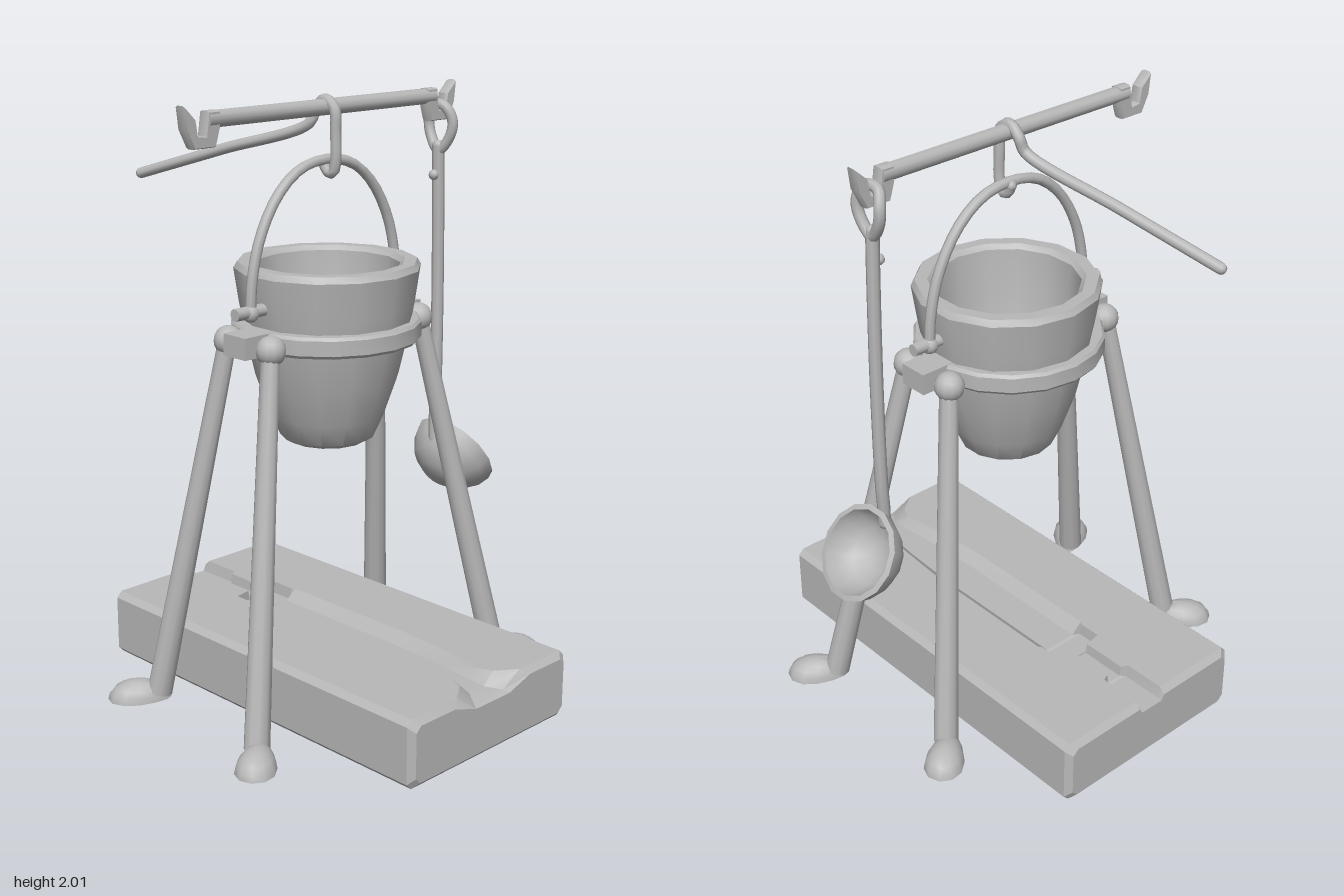
import * as THREE from 'three';
import { mergeGeometries, toCreasedNormals } from 'three/addons/utils/BufferGeometryUtils.js';

const V = (x, y, z) => new THREE.Vector3(x, y, z);

export function createModel() {
  const model = new THREE.Group();
  model.name = 'castingSet';
  const iron = new THREE.MeshStandardMaterial({ color: 0xb8b8b8 });
  iron.name = 'greyIron';

  const add = (parent, name, geometry, x = 0, y = 0, z = 0) => {
    const mesh = new THREE.Mesh(geometry, iron);
    mesh.name = name;
    mesh.position.set(x, y, z);
    parent.add(mesh);
    return mesh;
  };

  // Bent rod with rounded ends
  const rod = (points, radius, steps = 32, closed = false) => {
    const curve = new THREE.CatmullRomCurve3(points, closed, 'centripetal');
    const parts = [new THREE.TubeGeometry(curve, steps, radius, 8, closed)];
    if (!closed) {
      for (const p of [points[0], points[points.length - 1]]) {
        parts.push(new THREE.SphereGeometry(radius, 8, 6).translate(p.x, p.y, p.z));
      }
    }
    return mergeGeometries(parts);
  };

  // Straight tapered bar between two points
  const bar = (a, b, ra, rb, sides = 10) => {
    const dir = b.clone().sub(a);
    const g = new THREE.CylinderGeometry(rb, ra, dir.length(), sides);
    g.applyQuaternion(new THREE.Quaternion().setFromUnitVectors(V(0, 1, 0), dir.clone().normalize()));
    const mid = a.clone().add(b).multiplyScalar(0.5);
    return toCreasedNormals(g.translate(mid.x, mid.y, mid.z), 0.8);
  };

  const lathe = (profile, sides) =>
    toCreasedNormals(new THREE.LatheGeometry(profile.map(([x, y]) => new THREE.Vector2(x, y)), sides), 0.65);

  add(model, 'mouldBlock', mouldBlock());

  // Everything hung from or standing around the pot shares one centre line
  const rig = new THREE.Group();
  rig.name = 'potStand';
  rig.position.set(-0.017, 0, -0.007);
  model.add(rig);

  // Pot with thick wall
  add(rig, 'pot', lathe([
    [0, 0.88], [0.13, 0.88], [0.155, 0.895], [0.19, 0.97], [0.235, 1.1], [0.268, 1.24], [0.285, 1.34],
    [0.302, 1.455], [0.29, 1.475], [0.25, 1.475], [0.235, 1.46], [0.222, 1.3], [0.185, 1.1], [0.13, 0.96], [0, 0.94],
  ], 14), 0.007);

  // Carrying band
  add(rig, 'band', lathe([
    [0.24, 1.222], [0.3, 1.222], [0.308, 1.232], [0.308, 1.28], [0.3, 1.29], [0.25, 1.29], [0.24, 1.222],
  ], 18));

  for (const s of [-1, 1]) {
    add(rig, 'bandLug', new THREE.BoxGeometry(0.12, 0.07, 0.1), s * 0.335, 1.256, 0);
    add(rig, 'bailPin', bar(V(s * 0.26, 1.355, 0), V(s * 0.391, 1.355, 0), 0.02, 0.02));
    add(rig, 'bailEye', new THREE.SphereGeometry(0.028, 10, 8), s * 0.326, 1.35, 0);
    for (const f of [-1, 1]) {
      // Leg with ball joint and flat-soled foot
      const leg = new THREE.Group();
      leg.name = f > 0 ? 'frontLeg' : 'backLeg';
      rig.add(leg);
      const dx = f > 0 ? 0 : -0.045;
      add(leg, 'ballJoint', new THREE.SphereGeometry(0.048, 12, 10), s * 0.332, 1.25, f * 0.098);
      add(leg, 'shaft', bar(V(s * (0.56 + dx), 0.05, f * 0.265), V(s * 0.337, 1.24, f * 0.1), 0.042, 0.03));
      const dome = new THREE.SphereGeometry(1, 12, 5, 0, Math.PI * 2, 0, Math.PI / 2);
      const sole = new THREE.CircleGeometry(1, 12).rotateX(Math.PI / 2);
      const foot = mergeGeometries([dome, sole]);
      const p = foot.attributes.position;
      // Narrow the heel, widen the toe
      for (let i = 0; i < p.count; i++) {
        p.setZ(i, p.getZ(i) * (0.85 + 0.25 * p.getX(i)));
      }
      foot.scale(0.105, 0.066, 0.074);
      const mesh = add(leg, 'foot', toCreasedNormals(foot, 0.8), s * (0.605 + dx), 0.025, f * 0.315);
      mesh.rotation.y = Math.atan2(-f * 0.62, s * 0.78);
    }
  }

  // Bail handle
  const half = [[0.326, 1.34], [0.318, 1.45], [0.283, 1.58], [0.21, 1.7], [0.115, 1.773]];
  add(rig, 'bail', rod([
    ...half.map(([x, y]) => V(-x, y, 0)), V(0, 1.795, 0), ...half.slice().reverse().map(([x, y]) => V(x, y, 0)),
  ], 0.017, 28));

  // Carrying bar with an upturned hook at each end
  add(rig, 'crossBar', bar(V(-0.492, 1.958, 0), V(0.492, 1.958, 0), 0.026, 0.026));
  const hookShape = new THREE.Shape([
    [0.455, 1.98], [0.455, 1.935], [0.472, 1.88], [0.55, 1.88], [0.578, 1.935], [0.586, 2.0],
    [0.548, 1.962], [0.54, 1.912], [0.505, 1.908], [0.494, 1.98],
  ].map(([x, y]) => new THREE.Vector2(x, y)));
  for (const s of [-1, 1]) {
    const g = new THREE.ExtrudeGeometry(hookShape, {
      depth: 0.022, bevelEnabled: true, bevelThickness: 0.01, bevelSize: 0.004, bevelSegments: 1,
    }).translate(0, 0, -0.011);
    const hook = add(rig, 'endHook', toCreasedNormals(g, 0.6));
    if (s < 0) hook.rotation.y = Math.PI;
  }

  // Lifting rod looped over the bar, hooked under the bail
  add(rig, 'liftingHook', rod([
    V(-0.185, 1.698, -0.7), V(-0.1, 1.8, -0.38), V(-0.012, 1.905, -0.06), V(0, 1.95, -0.045), V(0, 1.982, -0.005),
    V(0, 1.955, 0.038), V(0, 1.88, 0.043), V(0, 1.79, 0.043), V(0, 1.755, 0.03), V(0, 1.758, 0.005), V(0, 1.785, -0.01),
  ], 0.018, 64));

  // Ladle hanging from the left end hook
  const ladle = new THREE.Group();
  ladle.name = 'ladle';
  model.add(ladle);
  add(ladle, 'ladleEye', rod([
    V(0.505, 1.775, 0), V(0.512, 1.83, 0.045), V(0.512, 1.88, 0.052), V(0.5, 1.925, 0.026), V(0.495, 1.925, -0.026),
    V(0.512, 1.88, -0.052), V(0.512, 1.83, -0.045),
  ], 0.018, 32, true));
  add(ladle, 'ladleHandle', rod([
    V(0.502, 1.79, 0), V(0.505, 1.7, 0), V(0.512, 1.3, 0), V(0.508, 0.92, 0.003), V(0.5, 0.83, 0.008), V(0.497, 0.77, 0.012),
  ], 0.021, 30));
  add(ladle, 'handleKnob', new THREE.SphereGeometry(0.018, 8, 6), 0.483, 1.695, 0);
  const bowl = add(ladle, 'ladleBowl', lathe([
    [0, -0.135], [0.06, -0.125], [0.11, -0.095], [0.145, -0.045], [0.158, 0], [0.14, 0.004],
    [0.128, -0.035], [0.095, -0.08], [0.05, -0.106], [0, -0.113],
  ], 14), 0.607, 0.705, 0.013);
  bowl.rotation.z = -0.977;

  return model;
}

// Stone block lofted along z, with a blade-shaped recess in its top
function mouldBlock() {
  const H = 0.373, T = 0.23, E = 0.02;
  // z, recess half width, floor half width, depth, end inset
  const rows = [
    [-0.72, 0.055, 0.045, 0.04, E], [-0.7, 0.055, 0.045, 0.04, 0], [-0.555, 0.055, 0.045, 0.04, 0],
    [-0.545, 0.032, 0.027, 0.035, 0], [-0.385, 0.032, 0.027, 0.035, 0], [-0.375, 0.092, 0.087, 0.04, 0],
    [-0.295, 0.092, 0.087, 0.04, 0], [-0.285, 0.1, 0.06, 0.035, 0], [0.25, 0.1, 0.06, 0.035, 0],
    [0.45, 0.085, 0.05, 0.035, 0], [0.6, 0.06, 0.035, 0.035, 0], [0.65, 0.08, 0.035, 0.038, 0],
    [0.7, 0.15, 0.07, 0.045, 0], [0.72, 0.18, 0.08, 0.052, E],
  ];
  const positions = [], index = [], n = 18;
  for (const [z, w, b, d, c] of rows) {
    const xs = [-H + c, -H + E + c, -w, -b, 0, b, w, H - E - c, H - c];
    const floor = Math.min(T - c, T - d);
    xs.forEach((x, j) => {
      const y = j === 0 || j === 8 ? T - E - c : j > 2 && j < 6 ? floor : T - c;
      positions.push(x, y, z);
    });
    for (let j = 8; j >= 0; j--) positions.push(xs[j], (j === 0 || j === 8 ? E : 0) + c, z);
  }
  for (let i = 0; i < rows.length - 1; i++) {
    for (let j = 0; j < n; j++) {
      const a = i * n + j, b = i * n + (j + 1) % n;
      index.push(a, a + n, b + n, a, b + n, b);
    }
  }
  // End faces
  const last = (rows.length - 1) * n;
  for (let j = 0; j < 8; j++) {
    const t = j, u = j + 1, s = 17 - j, r = 16 - j;
    index.push(last + t, last + s, last + r, last + t, last + r, last + u);
    index.push(t, r, s, t, u, r);
  }
  const g = new THREE.BufferGeometry();
  g.setAttribute('position', new THREE.Float32BufferAttribute(positions, 3));
  g.setIndex(index);
  return toCreasedNormals(g, 0.4);
}
